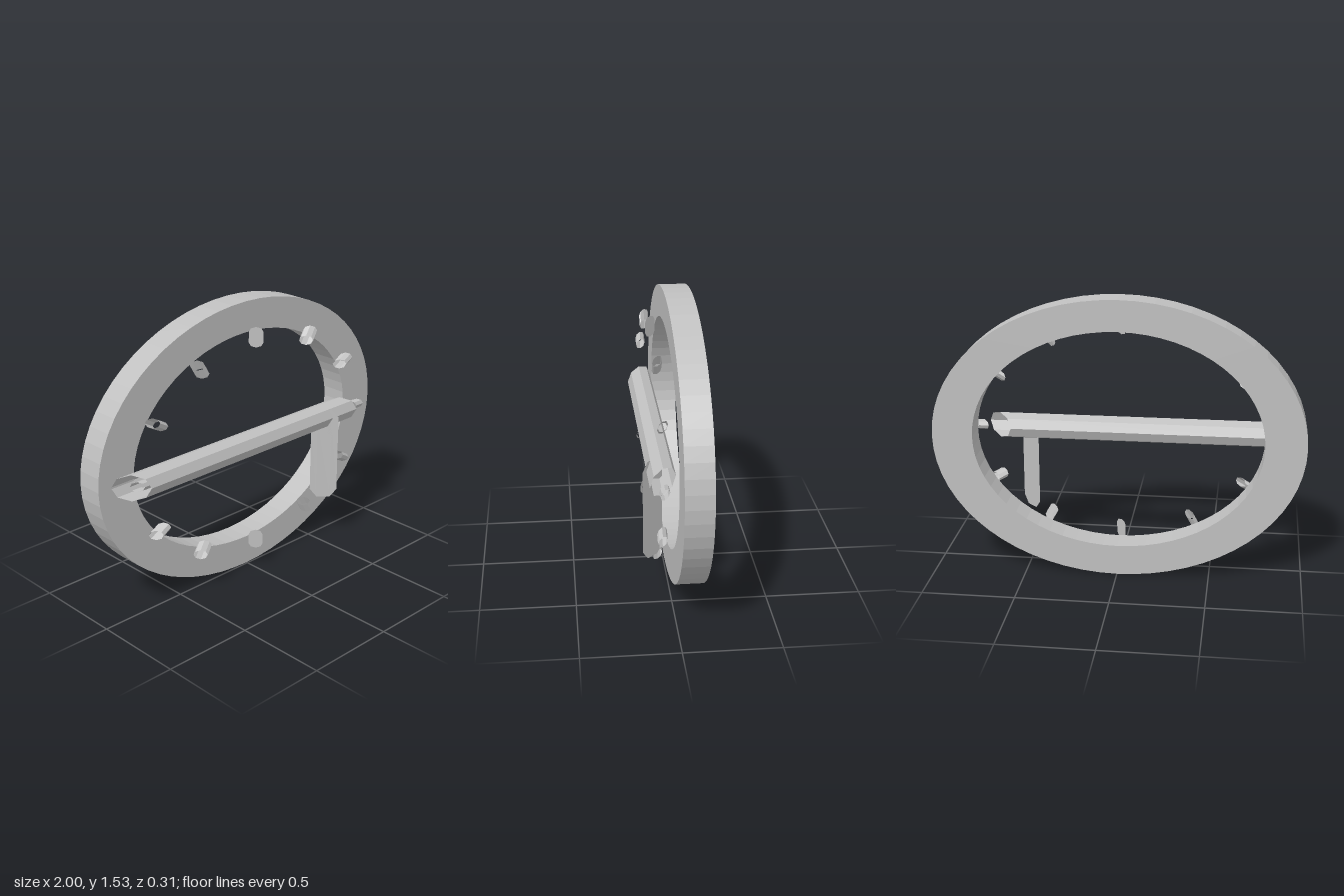
import * as THREE from 'three';

const CENTRE_Y = 0.765;

export function createModel() {
  const model = new THREE.Group();
  const grey = new THREE.MeshStandardMaterial({ color: 0xc0c0c0, flatShading: true, side: THREE.DoubleSide });
  grey.name = 'grey';

  function add(name, geometry) {
    const mesh = new THREE.Mesh(geometry, grey);
    mesh.name = name;
    model.add(mesh);
  }

  // Open tube whose cross-section always lies in the plane x = z,
  // swept along any direction in the xy plane.
  function sweptTube(name, centre, sweep, radius, sides) {
    const across = new THREE.Vector3(0, -radius, 0);
    const diagonal = new THREE.Vector3(radius, 0, radius);
    const matrix = new THREE.Matrix4().makeBasis(across, sweep, diagonal).setPosition(centre);
    const geometry = new THREE.CylinderGeometry(1, 1, 1, sides, 1, true).toNonIndexed();
    geometry.applyMatrix4(matrix);
    geometry.computeVertexNormals();
    add(name, geometry);
  }

  // Oval rim
  const outline = new THREE.Shape().absellipse(0, 0, 1, 0.765, 0, Math.PI * 2);
  outline.holes.push(new THREE.Path().absellipse(0, 0, 0.78, 0.598, 0, Math.PI * 2, true));
  const rim = new THREE.ExtrudeGeometry(outline, { depth: 0.145, bevelEnabled: false, curveSegments: 32 });
  rim.translate(0, CENTRE_Y, -0.152);
  add('rim', rim);

  // Twelve hour marks, each pointing away from the centre
  for (let i = 0; i < 12; i++) {
    const a = (i * Math.PI) / 6;
    const c = Math.cos(a), s = Math.sin(a);
    const flip = c < -1e-6 ? -1 : 1;
    sweptTube('hourMark' + (i + 1),
      new THREE.Vector3(0.787 * c, CENTRE_Y + 0.587 * s, 0.066),
      new THREE.Vector3(c, s, 0).multiplyScalar(0.058 * flip), 0.027, 8);
  }

  // Long horizontal hand and short upright hand
  sweptTube('longHand', new THREE.Vector3(-0.09, CENTRE_Y + 0.003, 0.062), new THREE.Vector3(1.52, 0, 0), 0.071, 8);
  sweptTube('shortHand', new THREE.Vector3(0.51, 0.548, 0.1), new THREE.Vector3(0, 0.445, 0), 0.054, 6);

  return model;
}
